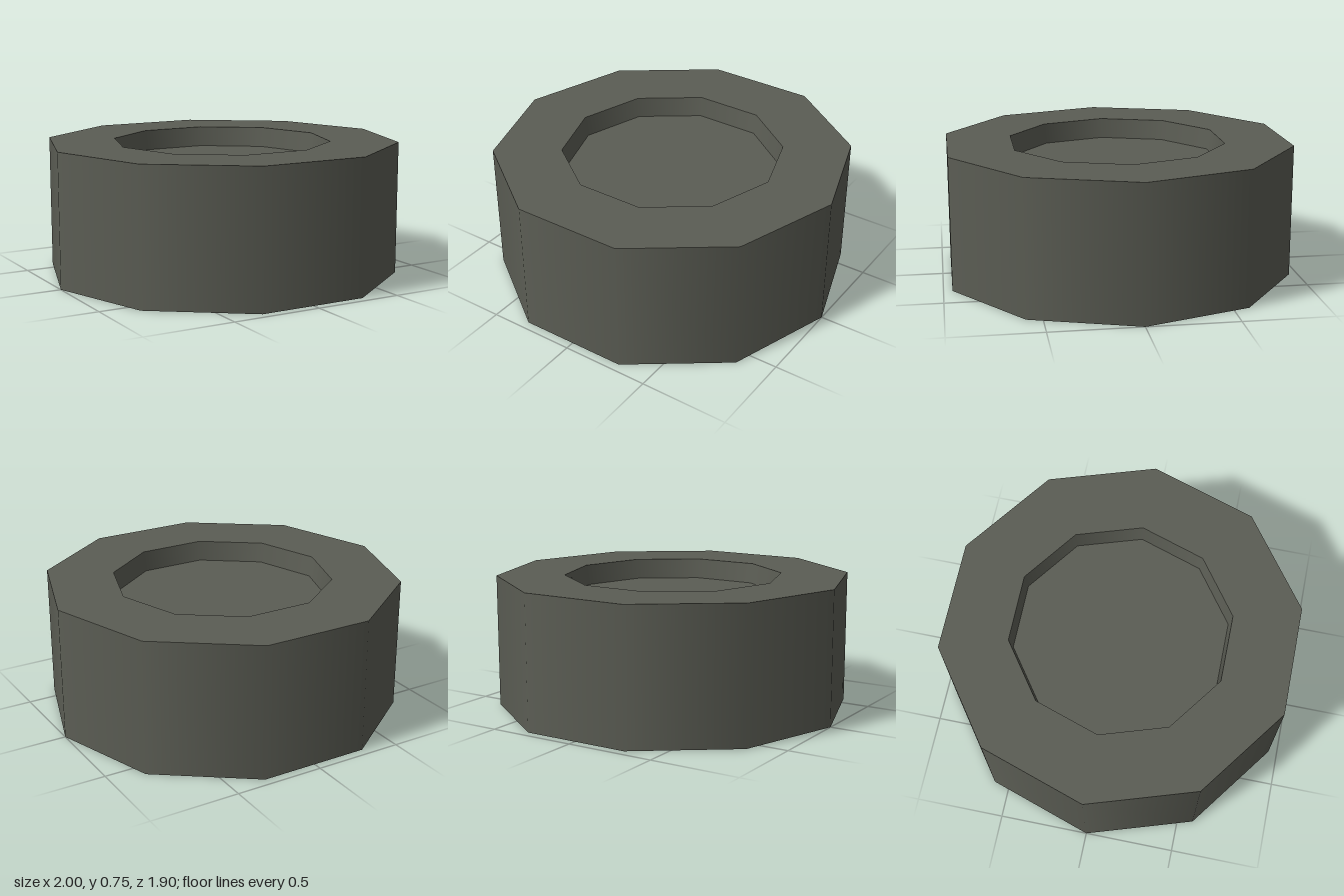
import * as THREE from 'three';

const SIDES = 10;

export function createModel() {
  const group = new THREE.Group();
  group.name = 'recessedDrum';

  const darkGrey = new THREE.MeshStandardMaterial({ color: 0x5b5d54 });
  darkGrey.name = 'darkOliveGrey';

  // One band per profile edge: smooth around the drum, sharp between bands
  const band = (name, r0, y0, r1, y1) => {
    const points = [new THREE.Vector2(r0, y0), new THREE.Vector2(r1, y1)];
    const mesh = new THREE.Mesh(new THREE.LatheGeometry(points, SIDES, Math.PI / 2), darkGrey);
    mesh.name = name;
    group.add(mesh);
  };

  const height = 0.75, floor = 0.635;
  band('base', 0, 0, 1, 0);
  band('outerWall', 1, 0, 1, height);
  band('rim', 1, height, 0.617, height);
  band('recessWall', 0.617, height, 0.6, floor);
  band('recessFloor', 0.6, floor, 0, floor);

  return group;
}
